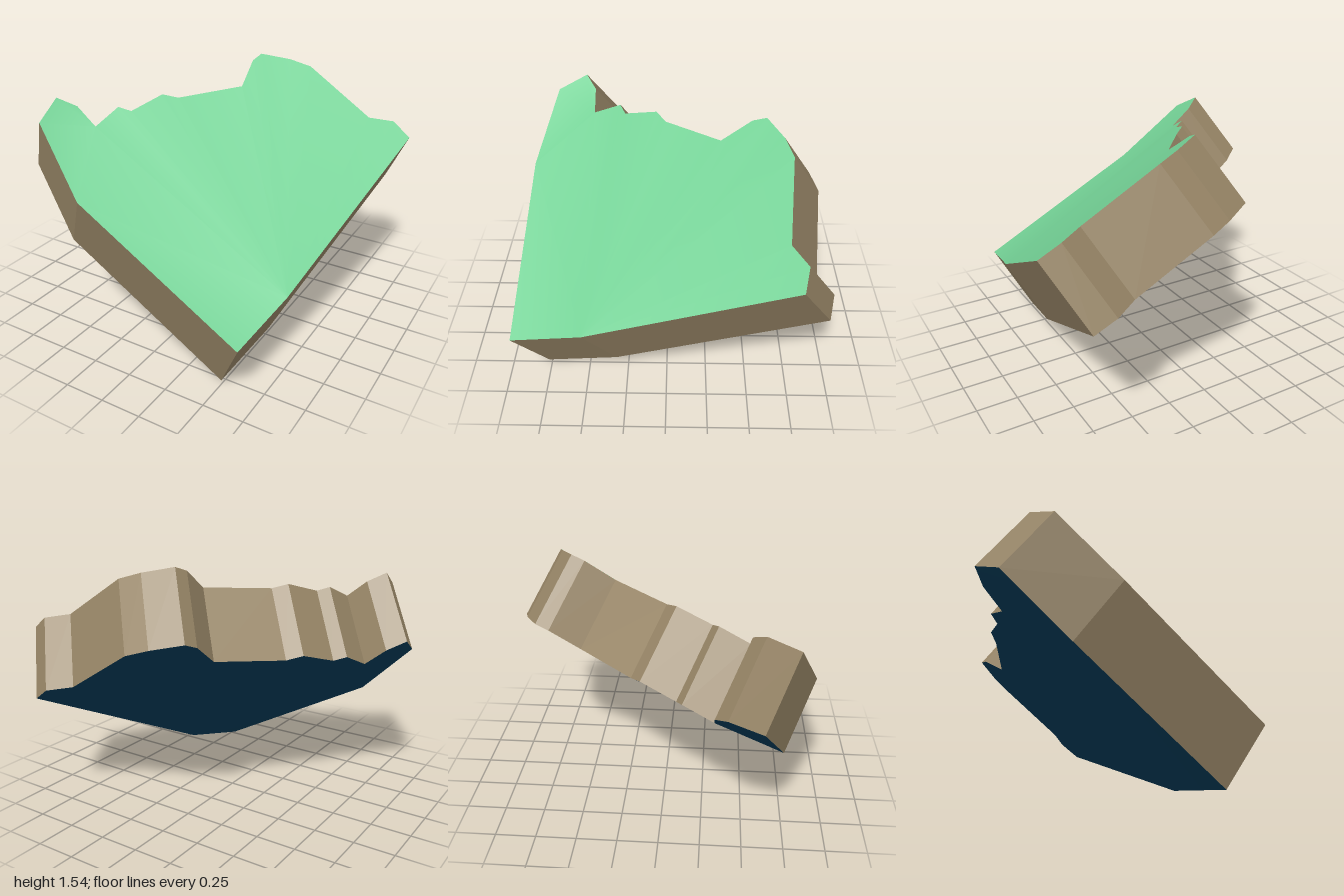
import * as THREE from 'three';

// Rim of the upper face, counterclockwise from above: [x, y, z]
const RIM = [
  [0.68, 0.39, 0.945], [0.75, 0.5, 0.5], [1.0, 1.1, -0.71], [0.88, 1.18, -0.74],
  [0.74, 1.205, -0.66], [0.3, 1.47, -0.7], [0.17, 1.51, -0.66], [0.0, 1.545, -0.57],
  [-0.02, 1.515, -0.49], [0.0, 1.39, -0.31], [-0.27, 1.36, 0.02], [-0.35, 1.385, 0.08],
  [-0.44, 1.32, 0.285], [-0.51, 1.345, 0.32], [-0.55, 1.265, 0.495], [-0.68, 1.37, 0.495],
  [-0.78, 1.425, 0.56], [-0.75, 1.33, 0.75], [-0.38, 0.97, 0.895],
];

// The underside is the rim pushed away from a distant centre
const under = ([x, y, z]) => [x - 0.21 + 0.02 * x, y - 0.397 + 0.02 * y, z - 0.192 + 0.02 * z];

// Triangles from one rim point to a run of others
const fan = (hub, run) => run.slice(1).map((p, i) => [hub, run[i], p]);

function makeMesh(name, positions, index, material) {
  const g = new THREE.BufferGeometry();
  g.setAttribute('position', new THREE.Float32BufferAttribute(positions.flat(), 3));
  g.setIndex(index);
  g.computeVertexNormals();
  const mesh = new THREE.Mesh(g, material);
  mesh.name = name;
  return mesh;
}

export function createModel() {
  const group = new THREE.Group();
  group.name = 'slab';
  const material = (name, color) => new THREE.MeshStandardMaterial({ name, color });
  const green = material('grass green', 0x74d296);
  const brown = material('earth brown', 0x988667);
  const navy = material('deep blue', 0x043c5a);

  // Shallow dish: a main fan from its lowest rim point, a small raised fan at the left tip
  const lower = RIM.map(under);
  const faces = [
    ...fan(1, [2, 3, 4, 5, 6, 7, 8, 9, 10, 11, 12, 13, 14, 18, 0]),
    ...fan(14, [15, 16, 17, 18]),
  ];

  // Smooth upper and lower faces
  group.add(makeMesh('topSurface', RIM, faces.flat(), green));
  group.add(makeMesh('underside', lower, faces.flatMap(([a, b, c]) => [a, c, b]), navy));

  // Flat side walls, one separate quad per rim edge
  const corners = [];
  const index = [];
  RIM.forEach((p, i) => {
    const j = (i + 1) % RIM.length;
    const k = corners.length;
    corners.push(lower[i], lower[j], RIM[j], p);
    index.push(k, k + 1, k + 2, k, k + 2, k + 3);
  });
  group.add(makeMesh('sideWalls', corners, index, brown));
  return group;
}
